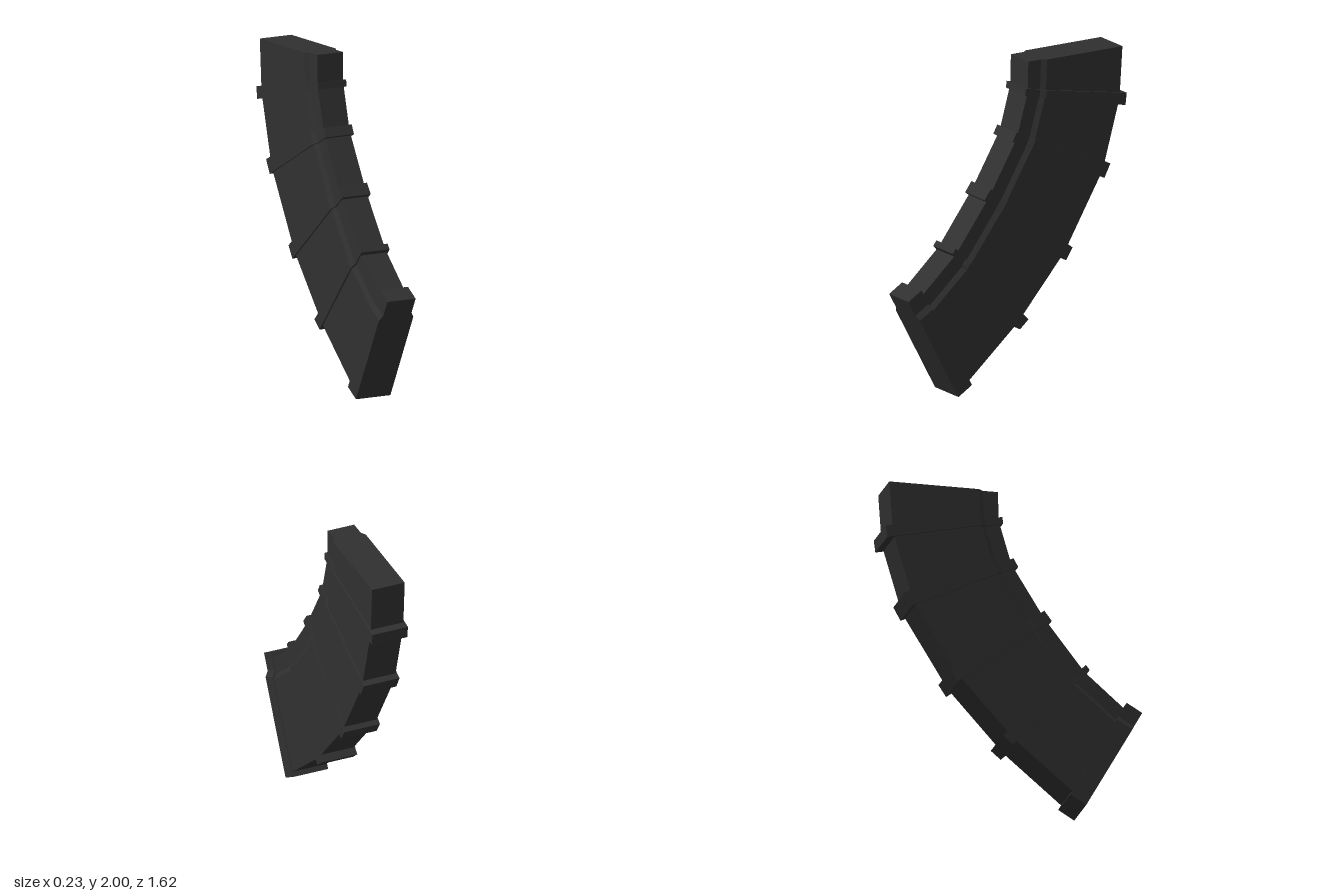
import * as THREE from 'three';

const material = new THREE.MeshStandardMaterial({ color: 0x303030, flatShading: true });

// Stepped cross-section from front point to back point, each given as [z, y].
// n = half-width of the narrow front strip, w = half-width of the main part,
// s1..s2 = where the chamfer between them starts and ends.
function section([front, back], n, w, s1, s2) {
  const f = new THREE.Vector3(0, front[1], front[0]);
  const b = new THREE.Vector3(0, back[1], back[0]);
  const length = f.distanceTo(b);
  const outline = [[-n, 0], [n, 0], [n, s1], [w, s2], [w, length], [-w, length], [-w, s2], [-n, s1]];
  return outline.map(([x, d]) => f.clone().lerp(b, d / length).setX(x));
}

// Solid skin through the sections, ordered from top to bottom, with both ends closed
function loft(name, sections) {
  const points = [];
  const quad = (a, b, c, d) => points.push(a, b, c, a, c, d);
  for (let s = 0; s < sections.length - 1; s++) {
    const top = sections[s], low = sections[s + 1];
    for (let i = 0; i < 8; i++) {
      const j = (i + 1) % 8;
      quad(top[i], low[i], low[j], top[j]);
    }
  }
  const first = sections[0], last = sections[sections.length - 1];
  for (const [a, b, c, d] of [[0, 1, 2, 7], [7, 2, 3, 6], [6, 3, 4, 5]]) {
    quad(first[a], first[b], first[c], first[d]);
    quad(last[d], last[c], last[b], last[a]);
  }
  const geometry = new THREE.BufferGeometry().setFromPoints(points);
  geometry.computeVertexNormals();
  const mesh = new THREE.Mesh(geometry, material);
  mesh.name = name;
  return mesh;
}

export function createModel() {
  const group = new THREE.Group();
  group.name = 'curvedMagazine';

  // Curved body, bending at each rib
  const bodyLines = [
    [[-0.095, 2.0], [-0.785, 1.963]],
    [[-0.09, 1.81], [-0.763, 1.64]],
    [[-0.01, 1.535], [-0.637, 1.21]],
    [[0.195, 1.21], [-0.35, 0.75]],
    [[0.445, 0.895], [0.0, 0.375]],
    [[0.705, 0.68], [0.37, 0.08]],
  ];
  group.add(loft('body', bodyLines.map((line) => section(line, 0.087, 0.107, 0.095, 0.125))));

  // Raised ribs and base: upper and lower front-to-back lines
  const bands = {
    ribTop: [[[-0.07, 1.835], [-0.81, 1.666]], [[-0.065, 1.793], [-0.80, 1.59]]],
    ribUpper: [[[0.0, 1.573], [-0.687, 1.244]], [[0.03, 1.52], [-0.642, 1.162]]],
    ribMiddle: [[[0.194, 1.255], [-0.403, 0.772]], [[0.241, 1.194], [-0.355, 0.70]]],
    ribLower: [[[0.456, 0.934], [-0.074, 0.385]], [[0.48, 0.904], [-0.01, 0.334]]],
    basePlate: [[[0.713, 0.721], [0.35, 0.056]], [[0.81, 0.668], [0.451, 0.0]]],
  };
  for (const [name, lines] of Object.entries(bands)) {
    group.add(loft(name, lines.map((line) => section(line, 0.096, 0.117, 0.11, 0.145))));
  }
  return group;
}
